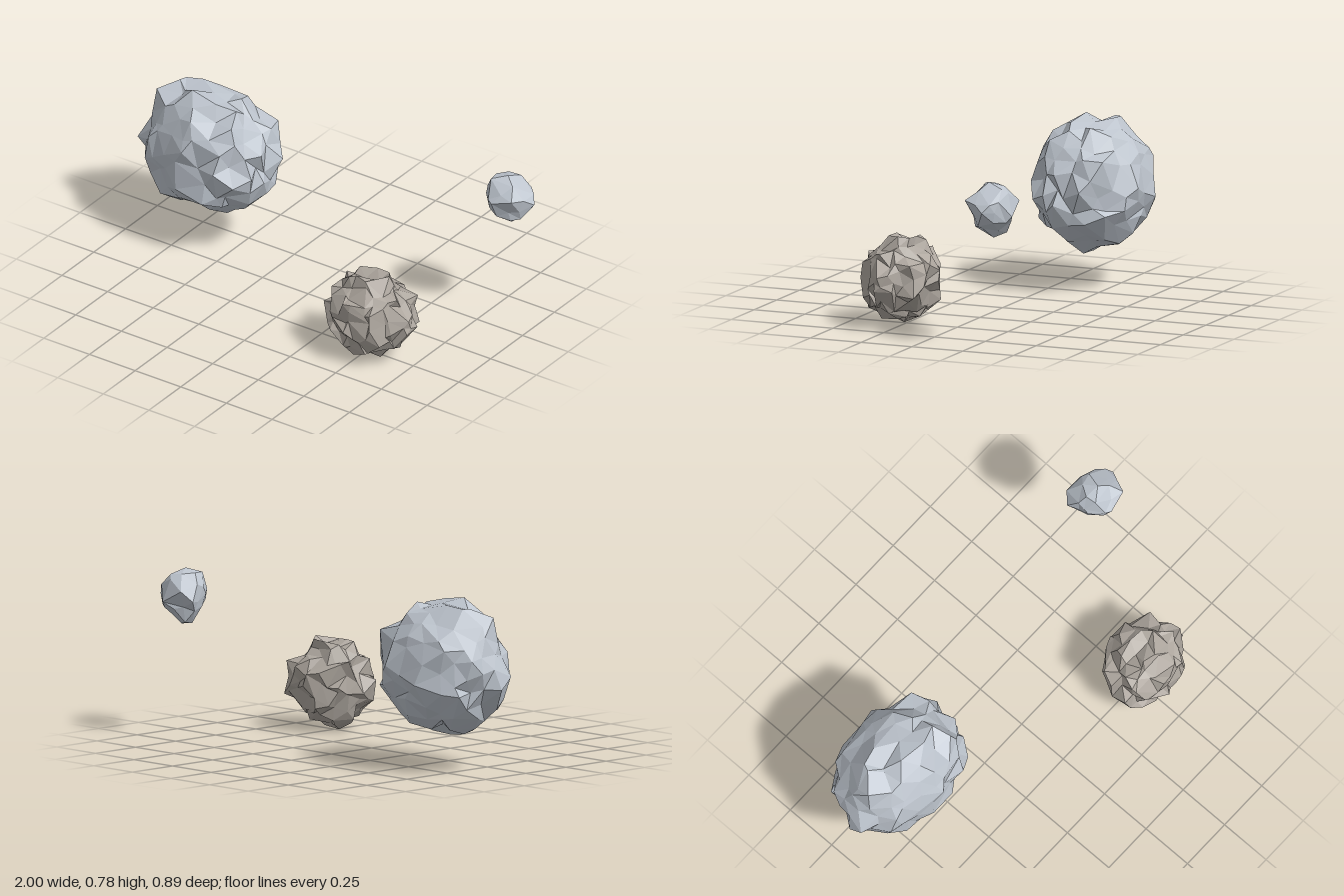
import * as THREE from 'three';
import { mergeVertices } from 'three/addons/utils/BufferGeometryUtils.js';

// Small seeded generator, returns values in -1..1
function seeded(seed) {
  let s = seed;
  return () => {
    s = (s * 16807) % 2147483647;
    return (s / 2147483647) * 2 - 1;
  };
}

// Faceted boulder: an icosphere with jittered corners, kept inside its half sizes
function rockGeometry(detail, meanRadius, roughness, seed, halfSize) {
  const ball = new THREE.IcosahedronGeometry(1, detail);
  ball.deleteAttribute('uv');
  ball.deleteAttribute('normal');
  const geometry = mergeVertices(ball, 1e-4);
  const random = seeded(seed);
  const position = geometry.attributes.position;
  const v = new THREE.Vector3();
  const shift = new THREE.Vector3();
  for (let i = 0; i < position.count; i++) {
    v.fromBufferAttribute(position, i).multiplyScalar(meanRadius);
    shift.set(random(), random(), random()).multiplyScalar(roughness);
    v.add(shift).clampScalar(-1, 1);
    position.setXYZ(i, v.x, v.y, v.z);
  }
  geometry.scale(...halfSize);
  const faceted = geometry.toNonIndexed();
  faceted.computeVertexNormals();
  return faceted;
}

export function createModel() {
  const group = new THREE.Group();
  group.name = 'floatingRocks';

  const blueGrey = new THREE.MeshStandardMaterial({ color: 0xbec5ce, flatShading: true });
  blueGrey.name = 'blue grey stone';
  const brownGrey = new THREE.MeshStandardMaterial({ color: 0xafa8a0, flatShading: true });
  brownGrey.name = 'brown grey stone';

  // name, material, subdivision, mean radius, roughness, seed, centre, half sizes
  const rocks = [
    ['largeRock', blueGrey, 3, 0.95, 0.1, 7321, [-0.65, 0.467, -0.165], [0.35, 0.312, 0.265]],
    ['mediumRock', brownGrey, 3, 0.93, 0.14, 31873, [0.535, 0.208, 0.262], [0.215, 0.208, 0.182]],
    ['smallRock', blueGrey, 1, 0.91, 0.18, 55127, [0.868, 0.631, -0.332], [0.132, 0.126, 0.113]],
  ];
  for (const [name, material, detail, meanRadius, roughness, seed, centre, halfSize] of rocks) {
    const mesh = new THREE.Mesh(rockGeometry(detail, meanRadius, roughness, seed, halfSize), material);
    mesh.name = name;
    mesh.position.set(...centre);
    group.add(mesh);
  }
  return group;
}
